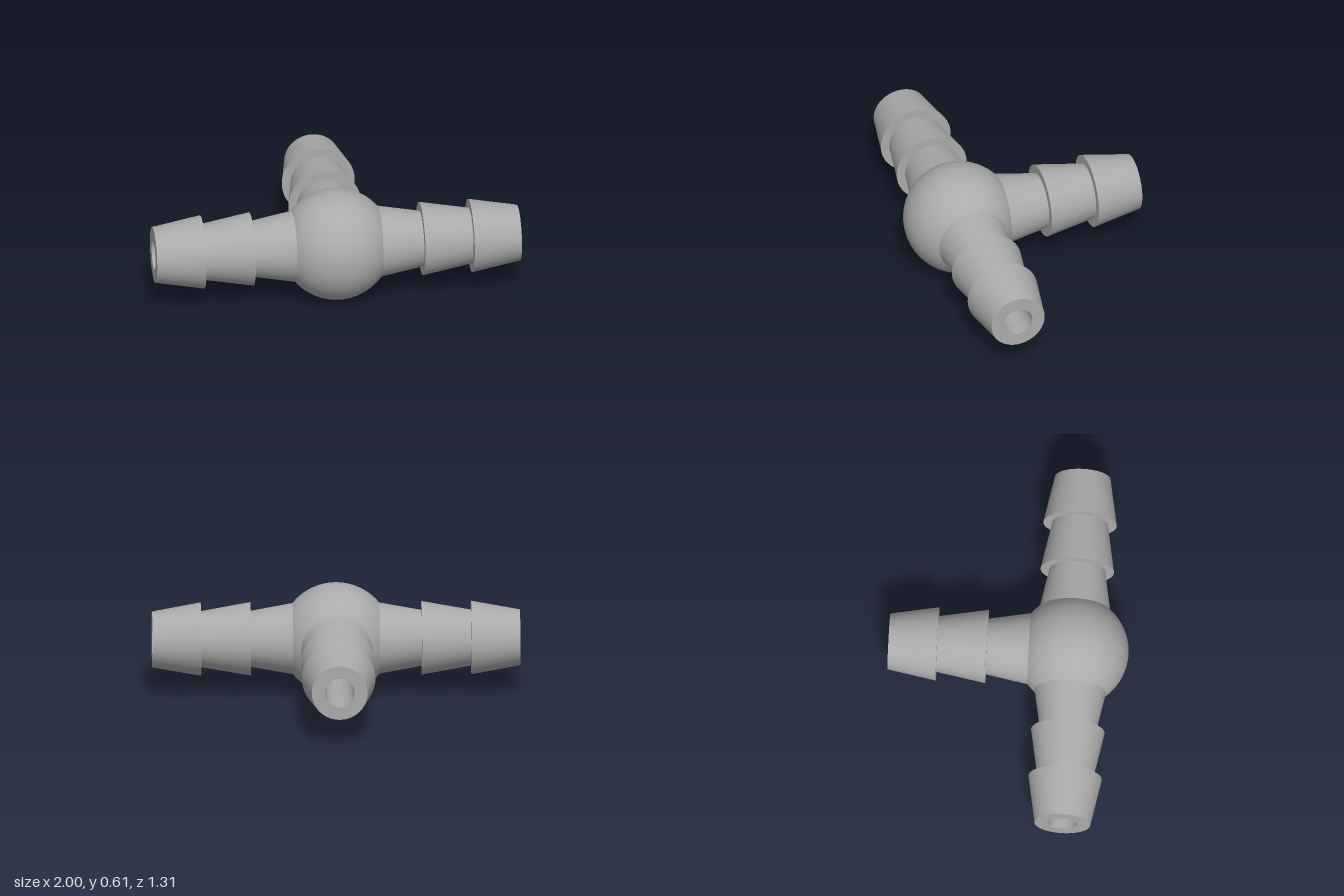
import * as THREE from 'three';
import { toCreasedNormals } from 'three/addons/utils/BufferGeometryUtils.js';

const BALL = 0.305;   // hub radius
const BORE = 0.081;   // radius of the passages
const ROOT = 0.152;   // narrow end of each barb
const LIP = 0.2;      // wide end of each barb

// Hollow barbed arm along +y; mitre(x, z) gives the height of the bore's inner end
function armGeometry(mitre) {
  const profile = [
    [LIP, 0.2],
    [ROOT, 0.465], [LIP, 0.465],
    [ROOT, 0.735], [LIP, 0.735],
    [ROOT, 1],
    [BORE, 1], [BORE, 0],
  ].map(([r, y]) => new THREE.Vector2(r, y));
  const geometry = new THREE.LatheGeometry(profile, 64);
  const p = geometry.attributes.position;
  for (let i = 0; i < p.count; i++) {
    if (p.getY(i) < 0.01) p.setY(i, mitre(p.getX(i), p.getZ(i)));
  }
  return toCreasedNormals(geometry, 0.5);
}

// Ball with openings where the arms enter; the opening rims lie inside the arm walls
function hubGeometry() {
  const geometry = new THREE.SphereGeometry(BALL, 80, 56);
  const p = geometry.attributes.position;
  const index = geometry.index.array;
  const kept = [];
  const c = new THREE.Vector3();
  const v = new THREE.Vector3();
  for (let i = 0; i < index.length; i += 3) {
    c.set(0, 0, 0);
    for (let k = 0; k < 3; k++) c.add(v.fromBufferAttribute(p, index[i + k]));
    c.divideScalar(3);
    const inSideArm = Math.hypot(c.y, c.z) < 0.14;
    const inBackArm = c.z < 0 && Math.hypot(c.x, c.y) < 0.14;
    if (!inSideArm && !inBackArm) kept.push(index[i], index[i + 1], index[i + 2]);
  }
  geometry.setIndex(kept);
  return geometry;
}

export function createModel() {
  const group = new THREE.Group();
  group.name = 'barbedTeeConnector';
  const grey = new THREE.MeshStandardMaterial({ color: 0xaaaaaa });
  grey.name = 'grey';

  const add = (name, geometry) => {
    const mesh = new THREE.Mesh(geometry, grey);
    mesh.name = name;
    mesh.position.set(0, BALL, 0.347);
    group.add(mesh);
    return mesh;
  };

  add('hub', hubGeometry());

  // Straight-through arms, their bores cut away at the back for the branch
  const sideMitre = (x, z) => Math.max(0, -z);
  add('leftArm', armGeometry(sideMitre)).rotation.z = -Math.PI / 2;
  add('rightArm', armGeometry(sideMitre)).rotation.z = Math.PI / 2;

  // Branch arm pointing backwards
  add('backArm', armGeometry((x) => Math.abs(x))).rotation.x = -Math.PI / 2;

  return group;
}
